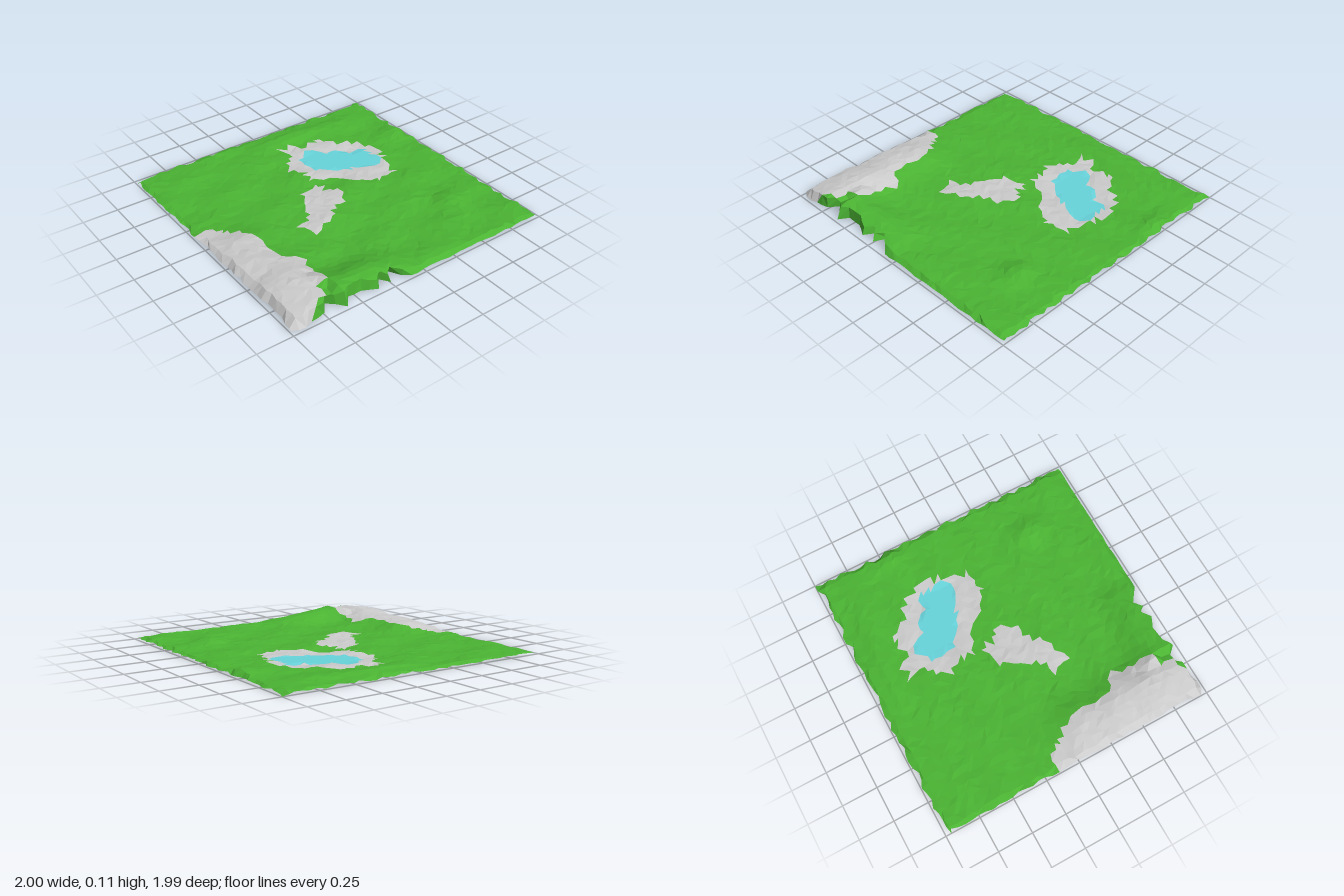
import * as THREE from 'three';

const N = 40; // cells per side

// Region outlines in x, z
const regions = {
  water: [[.12, -.54], [.2, -.61], [.27, -.6], [.32, -.5], [.43, -.46], [.46, -.4], [.57, -.4], [.59, -.23],
    [.58, -.14], [.48, -.15], [.38, -.2], [.28, -.24], [.2, -.3], [.11, -.38]],
  pondShore: [[.06, -.72], [.16, -.73], [.2, -.65], [.37, -.69], [.47, -.56], [.59, -.49], [.6, -.43], [.66, -.35],
    [.61, -.15], [.57, -.02], [.44, .03], [.28, -.04], [.2, -.17], [.1, -.23], [.02, -.24], [.01, -.4],
    [-.04, -.49], [0, -.55], [.09, -.6]],
  stonePatch: [[-.01, -.18], [.1, -.01], [.04, .12], [-.08, .12], [-.12, .22], [-.34, .3], [-.38, .17],
    [-.24, .1], [-.2, -.05], [-.12, -.14]],
  rockRidge: [[-1.1, -.1], [-.87, -.16], [-.8, -.02], [-.73, .05], [-.69, .18], [-.7, .42], [-.58, .45],
    [-.6, .78], [-.68, .8], [-.72, .9], [-.82, .95], [-.9, 1.1], [-1.1, 1.1]],
};
const colors = { grass: 0x4bb433, water: 0x68d5dc };

// Ragged front edge: x, z
const frontEdge = [[-1, .97], [-.92, .99], [-.82, .96], [-.76, .97], [-.7, .87], [-.6, .98], [-.55, .92], [-.42, .91],
  [-.36, .99], [-.31, .88], [-.24, .97], [-.2, .85], [-.13, .98], [0, .98], [1, .98]];
// Crest heights along the left ridge (by z) and the front bank (by x)
const leftCrest = [[-1, 0], [-.2, 0], [-.05, .025], [.1, .05], [.25, .06], [.4, .066], [.6, .08], [.75, .078], [.9, .066], [1, .04]];
const frontCrest = [[-1, .02], [-.75, .07], [-.45, .072], [-.25, .054], [-.1, .035], [0, .012], [1, .008]];

function lerpTable(table, t) {
  for (let i = 1; i < table.length; i++) {
    const [a, va] = table[i - 1], [b, vb] = table[i];
    if (t <= b) return va + (vb - va) * Math.max(0, (t - a) / (b - a));
  }
  return table[table.length - 1][1];
}

function inside(poly, x, z) {
  let hit = false;
  poly.forEach(([ax, az], i) => {
    const [bx, bz] = poly[(i + 1) % poly.length];
    if ((az > z) !== (bz > z) && x < ax + (bx - ax) * (z - az) / (bz - az)) hit = !hit;
  });
  return hit;
}

let seed = 7;
const rand = () => (seed = (seed * 16807) % 2147483647) / 2147483647;
const jitter = (a) => (rand() * 2 - 1) * a;
const bell = (x, z, cx, cz, rx, rz) => Math.exp(-(((x - cx) / rx) ** 2) - ((z - cz) / rz) ** 2);

// Ground height: soft ripples, ridge, front bank, small knolls, pond hollow
function height(x, z) {
  let y = .018 + .004 * Math.sin(x * 9 + z * 14) + .003 * Math.sin(x * 5 - z * 21 + 1);
  const d = x + .77;
  y += lerpTable(leftCrest, z) * Math.exp(-((d / (d < 0 ? .26 : .17)) ** 2));
  y += lerpTable(frontCrest, x) * Math.exp(-(((z - .86) / .17) ** 2)) * (x < -.65 ? .3 : 1);
  y += .035 * bell(x, z, .63, .52, .09, .1);
  y += .022 * bell(x, z, .92, -.45, .08, .12) + .02 * bell(x, z, .3, -.82, .4, .08);
  y += .012 * bell(x, z, -.2, .1, .2, .2);
  return y - .014 * bell(x, z, .35, -.37, .22, .22);
}

// Jittered grid of ground points with a drooping, ragged border
function groundPoints() {
  const cell = 2 / N, points = [];
  for (let j = 0; j <= N; j++) {
    for (let i = 0; i <= N; i++) {
      let x = -1 + i * cell, z = -1 + j * cell;
      const border = i === 0 || j === 0 || i === N || j === N;
      if (!border) { x += jitter(cell * .27); z += jitter(cell * .27); }
      if (i === 0) x = -.985 + jitter(.012);
      if (i === N) x = .982 + jitter(.018);
      if (j === 0) z = -.98 + jitter(.02);
      if (j === N) z = lerpTable(frontEdge, x) + jitter(.004);
      if (j === N - 1) z = Math.min(z, lerpTable(frontEdge, x) - .01);
      let y = height(x, z) + jitter(.003);
      if (border) y = Math.max(0, .008 + jitter(.006) + (i === 0 ? (y - .018) * .45 : 0));
      if (inside(regions.water, x, z)) y = .012;
      points.push(new THREE.Vector3(x, Math.max(0, y), z));
    }
  }
  points[0].set(-1, .004, -.96);
  points[N].set(1, 0, -1);
  points[N * (N + 1)].set(-.99, .005, .96);
  return points;
}

export function createModel() {
  const group = new THREE.Group();
  group.name = 'terrain';
  const points = groundPoints();
  const faces = { grass: [], water: [], pondShore: [], stonePatch: [], rockRidge: [] };

  // Sort each triangle into the region its centre falls in
  const addTriangle = (a, b, c) => {
    const tri = [points[a], points[b], points[c]];
    const x = (tri[0].x + tri[1].x + tri[2].x) / 3, z = (tri[0].z + tri[1].z + tri[2].z) / 3;
    const name = Object.keys(regions).find((key) => inside(regions[key], x, z)) || 'grass';
    tri.forEach((p) => faces[name].push(p.x, p.y, p.z));
  };
  for (let j = 0; j < N; j++) {
    for (let i = 0; i < N; i++) {
      const a = j * (N + 1) + i, b = a + 1, c = a + N + 1, d = c + 1;
      if (rand() < .5) { addTriangle(a, c, b); addTriangle(b, c, d); }
      else { addTriangle(a, c, d); addTriangle(a, d, b); }
    }
  }

  for (const [name, positions] of Object.entries(faces)) {
    const geometry = new THREE.BufferGeometry();
    geometry.setAttribute('position', new THREE.Float32BufferAttribute(positions, 3));
    geometry.computeVertexNormals();
    const material = new THREE.MeshStandardMaterial({
      color: colors[name] ?? 0xcccccc, flatShading: true, side: THREE.DoubleSide,
    });
    const mesh = new THREE.Mesh(geometry, material);
    mesh.name = name;
    group.add(mesh);
  }
  return group;
}
